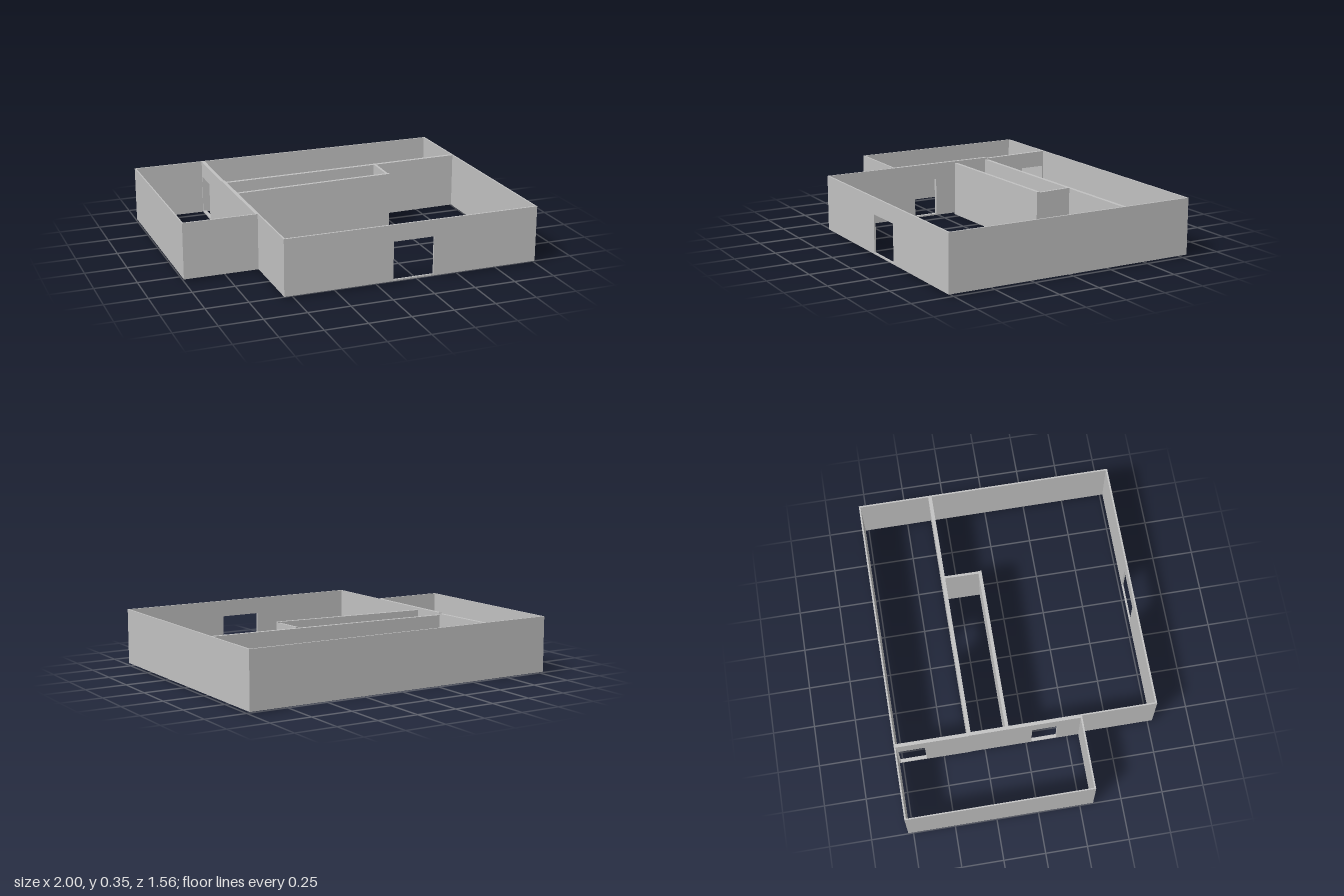
import * as THREE from 'three';

const BASE = 0.013, TOP = 0.35;

export function createModel() {
  const model = new THREE.Group();
  const plaster = new THREE.MeshStandardMaterial({ color: 0xc0c0c0 });
  plaster.name = 'grey plaster';

  // Wall elevation from u0 to u1, its ends lowered by d0 and d1, with [from, to] door openings
  function elevation(u0, u1, doors, d0, d1) {
    const shape = new THREE.Shape([
      new THREE.Vector2(u0, BASE - d0), new THREE.Vector2(u1, BASE - d1),
      new THREE.Vector2(u1, TOP - d1), new THREE.Vector2(u0, TOP - d0),
    ]);
    for (const [a, b] of doors) {
      shape.holes.push(new THREE.Path([
        new THREE.Vector2(a, 0.022), new THREE.Vector2(a, 0.25),
        new THREE.Vector2(b, 0.25), new THREE.Vector2(b, 0.022),
      ]));
    }
    return shape;
  }

  function addWall(name, alongX, u0, u1, lo, hi, { doors = [], d0 = 0, d1 = 0 } = {}) {
    const geometry = new THREE.ExtrudeGeometry(elevation(u0, u1, doors, d0, d1),
      { depth: hi - lo, bevelEnabled: false });
    if (alongX) geometry.translate(0, 0, lo);
    else geometry.rotateY(-Math.PI / 2).translate(hi, 0, 0);
    const mesh = new THREE.Mesh(geometry, plaster);
    mesh.name = name;
    model.add(mesh);
  }

  // Outer walls of the main hall
  addWall('backWall', true, -1, 0.998, -0.78, -0.77);
  addWall('frontWall', true, -0.555, 0.998, 0.767, 0.778, { doors: [[0.097, 0.345]] });
  addWall('leftWall', false, -0.77, 0.767, 0.988, 0.998);
  addWall('rightFrontWall', false, 0.33, 0.767, -0.555, -0.546);

  // Side wing
  addWall('wingOuterWall', false, -0.77, 0.32, -1, -0.992);
  addWall('wingFrontWall', true, -1, -0.555, 0.32, 0.33);

  // Shared wall between wing and hall, with two doorways
  addWall('sharedFrontWall', false, -0.34, 0.33, -0.567, -0.546, { doors: [[0.033, 0.185]] });
  addWall('sharedBackWall', false, -0.77, -0.34, -0.567, -0.546,
    { doors: [[-0.762, -0.605]], d1: 0.006 });

  // Inner partitions, slightly lower at the wing end
  addWall('longPartition', true, -0.555, 0.988, -0.349, -0.327,
    { doors: [[0.03, 0.185]], d0: 0.013 });
  addWall('shortPartition', true, -0.555, 0.449, -0.123, -0.103, { d0: 0.013 });
  addWall('endPartition', false, -0.328, -0.122, 0.434, 0.449, { d1: 0.005 });

  return model;
}
